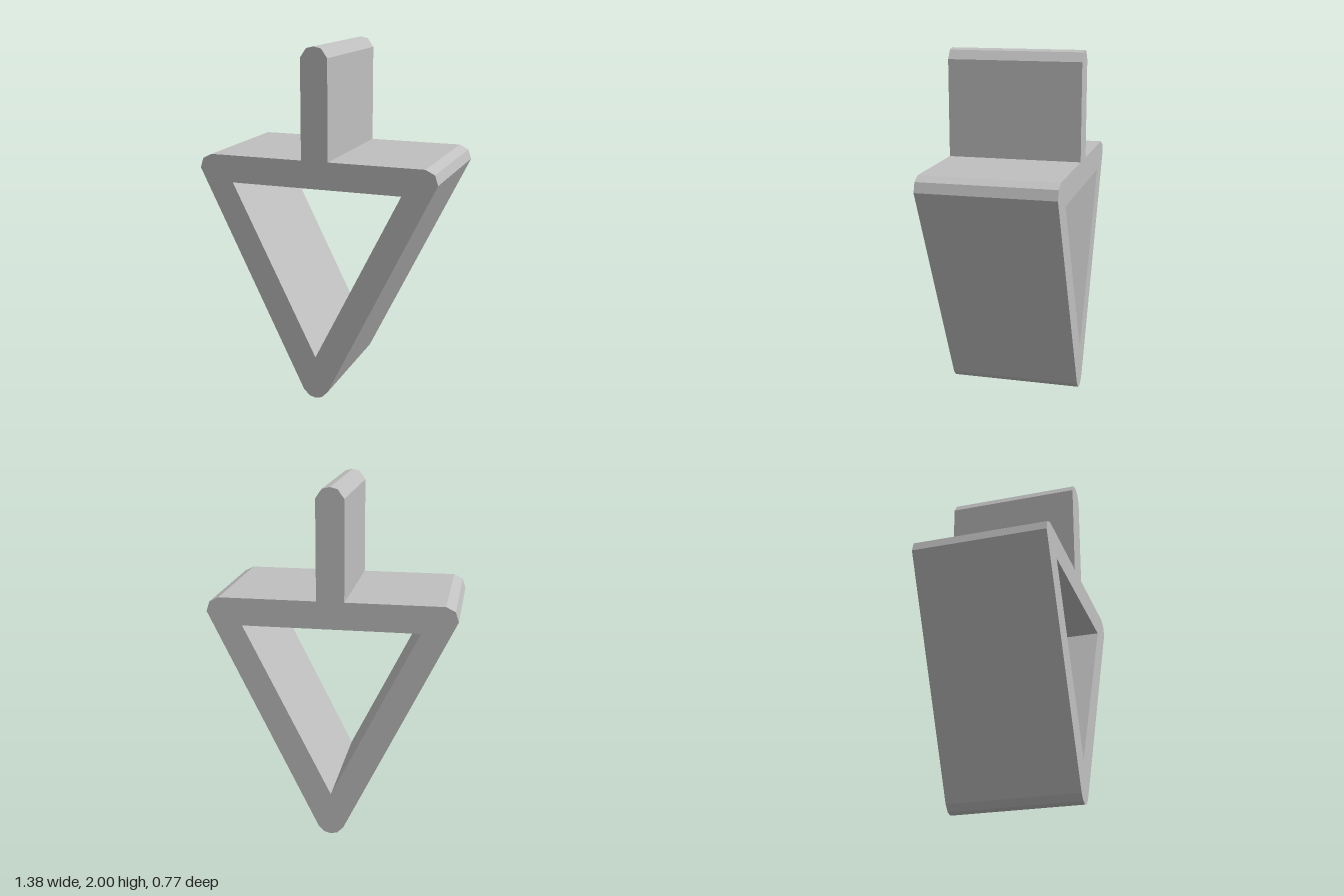
import * as THREE from 'three';

export function createModel() {
  const group = new THREE.Group();
  const grey = new THREE.MeshStandardMaterial({ color: 0xc0c0c0 });
  grey.name = 'light grey';
  grey.flatShading = true;
  const depth = 0.766;

  // right half of the outline, bottom to top, mirrored for the left half
  const half = [
    [0.037, 0.01], [0.072, 0.045], [0.69, 1.305], [0.672, 1.36], [0.62, 1.386],
    [0.077, 1.386], [0.077, 1.94], [0.042, 1.99],
  ];
  const mirrored = half.map(([x, y]) => [-x, y]).reverse();
  const outline = [[0, 0], ...half, [0, 2], ...mirrored];
  const toPoints = (list) => list.map(([x, y]) => new THREE.Vector2(x, y));

  // triangular opening
  const shape = new THREE.Shape(toPoints(outline));
  shape.holes.push(new THREE.Path(toPoints([[0, 0.25], [-0.492, 1.232], [0.492, 1.232]])));

  // triangular frame and upright fin as one extruded profile
  const geometry = new THREE.ExtrudeGeometry(shape, { depth, bevelEnabled: false });
  geometry.translate(0, 0, -depth / 2);
  const frame = new THREE.Mesh(geometry, grey);
  frame.name = 'triangularFrameWithFin';
  group.add(frame);
  return group;
}
